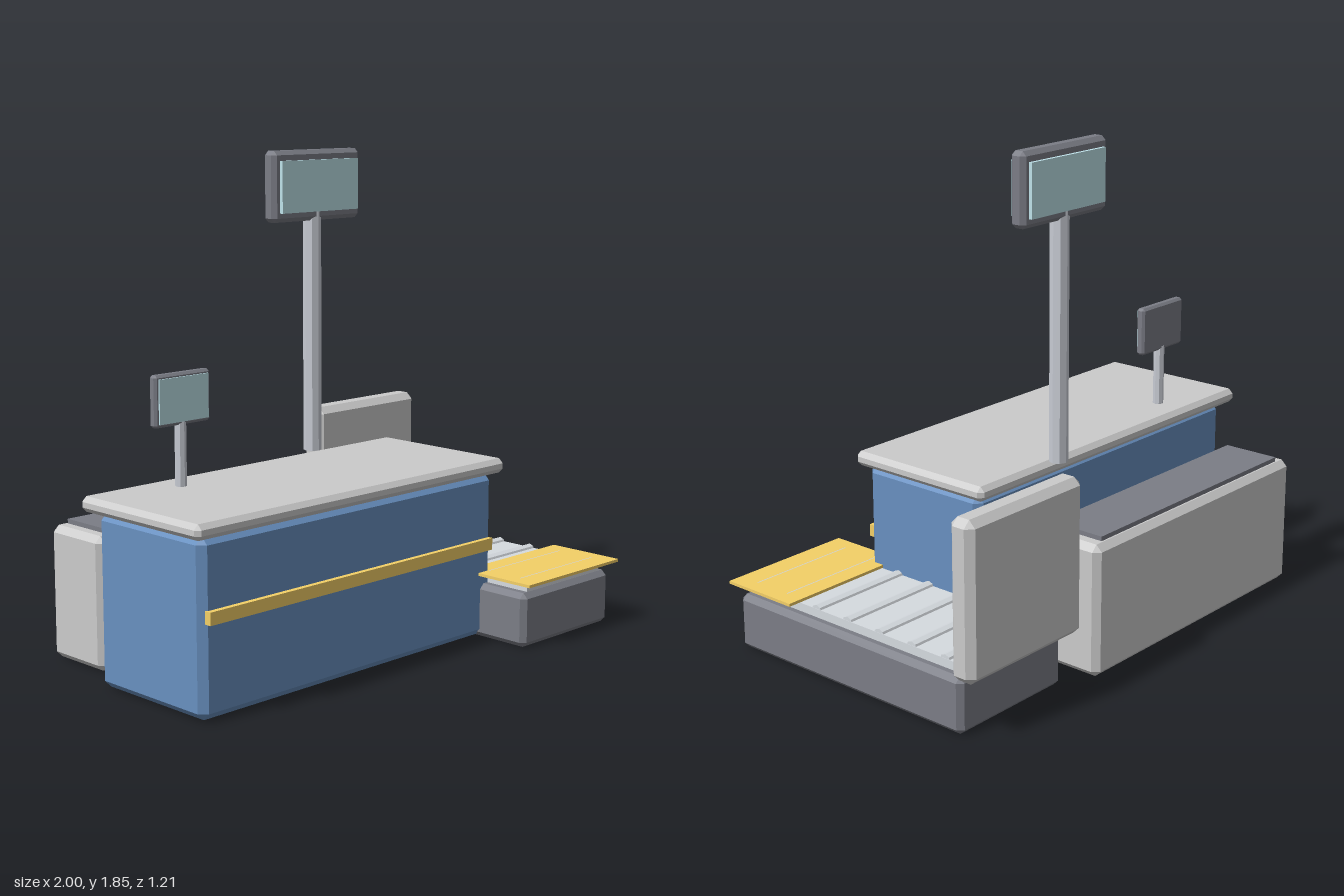
import * as THREE from 'three';
import { ConvexGeometry } from 'three/addons/geometries/ConvexGeometry.js';

const mat = (color) => new THREE.MeshStandardMaterial({ color, flatShading: true });

export function createModel() {
  const root = new THREE.Group();
  const grey = mat(0xcccccc), dark = mat(0x7b7d86), blue = mat(0x6890c0), yellow = mat(0xf4d067);
  const glass = mat(0xbfe3ea), metal = mat(0xd6dbe0), pole = mat(0xc8ccd4);

  const add = (name, geometry, material, parent = root) => {
    const mesh = new THREE.Mesh(geometry, material);
    mesh.name = name;
    parent.add(mesh);
    return mesh;
  };

  // Box between two extents per axis; c > 0 bevels every edge and corner
  const box = (name, material, [x0, x1], [y0, y1], [z0, z1], c = 0, parent = root) => {
    const half = [(x1 - x0) / 2, (y1 - y0) / 2, (z1 - z0) / 2];
    let geometry;
    if (c > 0) {
      const points = [];
      for (const sx of [-1, 1]) for (const sy of [-1, 1]) for (const sz of [-1, 1]) {
        for (let full = 0; full < 3; full++) {
          const p = [sx, sy, sz].map((s, i) => s * (half[i] - (i === full ? 0 : c)));
          points.push(new THREE.Vector3(...p));
        }
      }
      geometry = new ConvexGeometry(points);
    } else {
      geometry = new THREE.BoxGeometry(half[0] * 2, half[1] * 2, half[2] * 2);
    }
    const mesh = add(name, geometry, material, parent);
    mesh.position.set((x0 + x1) / 2, (y0 + y1) / 2, (z0 + z1) / 2);
    return mesh;
  };

  // Upright eight-sided post
  const post = (name, x, z, r, y0, y1, parent) => {
    const mesh = add(name, new THREE.CylinderGeometry(r, r, y1 - y0, 8), pole, parent);
    mesh.position.set(x, (y0 + y1) / 2, z);
  };

  // Counter
  box('counterBase', blue, [-0.96, 0.515], [0.005, 0.637], [-0.2, 0.35], 0.027);
  box('counterTop', grey, [-1, 0.55], [0.636, 0.692], [-0.245, 0.38], 0.018);
  box('frontStripe', yellow, [-0.94, 0.49], [0.342, 0.388], [0.34, 0.37]);

  // Cabinet behind the counter
  box('rearCabinet', grey, [-0.865, 0.35], [0.004, 0.505], [-0.605, -0.312], 0.024);
  box('rearCabinetPanel', dark, [-0.805, 0.29], [0.495, 0.522], [-0.575, -0.348]);

  // Roller conveyor at the side
  const conveyor = new THREE.Group();
  conveyor.name = 'conveyor';
  root.add(conveyor);
  box('conveyorBase', dark, [0.445, 0.97], [0, 0.21], [-0.525, 0.567], 0.02, conveyor);
  box('conveyorBed', metal, [0.488, 0.93], [0.19, 0.242], [-0.51, 0.545], 0, conveyor);
  for (let i = 0; i < 7; i++) {
    const roller = add('roller', new THREE.CylinderGeometry(0.025, 0.025, 0.44, 8), metal, conveyor);
    roller.rotation.z = Math.PI / 2;
    roller.position.set(0.709, 0.232, -0.42 + i * 0.155);
  }
  box('loadingPlate', yellow, [0.435, 0.985], [0.245, 0.256], [0.28, 0.6], 0, conveyor);
  box('conveyorBackPanel', grey, [0.42, 1], [0.212, 0.788], [-0.602, -0.5], 0.026, conveyor);

  // Tall two-sided display
  const tall = new THREE.Group();
  tall.name = 'tallDisplay';
  root.add(tall);
  post('tallPost', 0.148, -0.262, 0.035, 0.692, 1.62, tall);
  box('tallHousing', dark, [-0.08, 0.38], [1.585, 1.852], [-0.294, -0.23], 0.016, tall);
  box('tallScreens', glass, [-0.05, 0.35], [1.62, 1.815], [-0.307, -0.215], 0, tall);

  // Small display on the counter
  const small = new THREE.Group();
  small.name = 'smallDisplay';
  root.add(small);
  post('smallPost', -0.643, -0.12, 0.021, 0.685, 0.93, small);
  box('smallHousing', dark, [-0.77, -0.515], [0.915, 1.102], [-0.138, -0.102], 0.009, small);
  box('smallScreen', glass, [-0.755, -0.53], [0.928, 1.088], [-0.115, -0.096], 0, small);

  return root;
}
